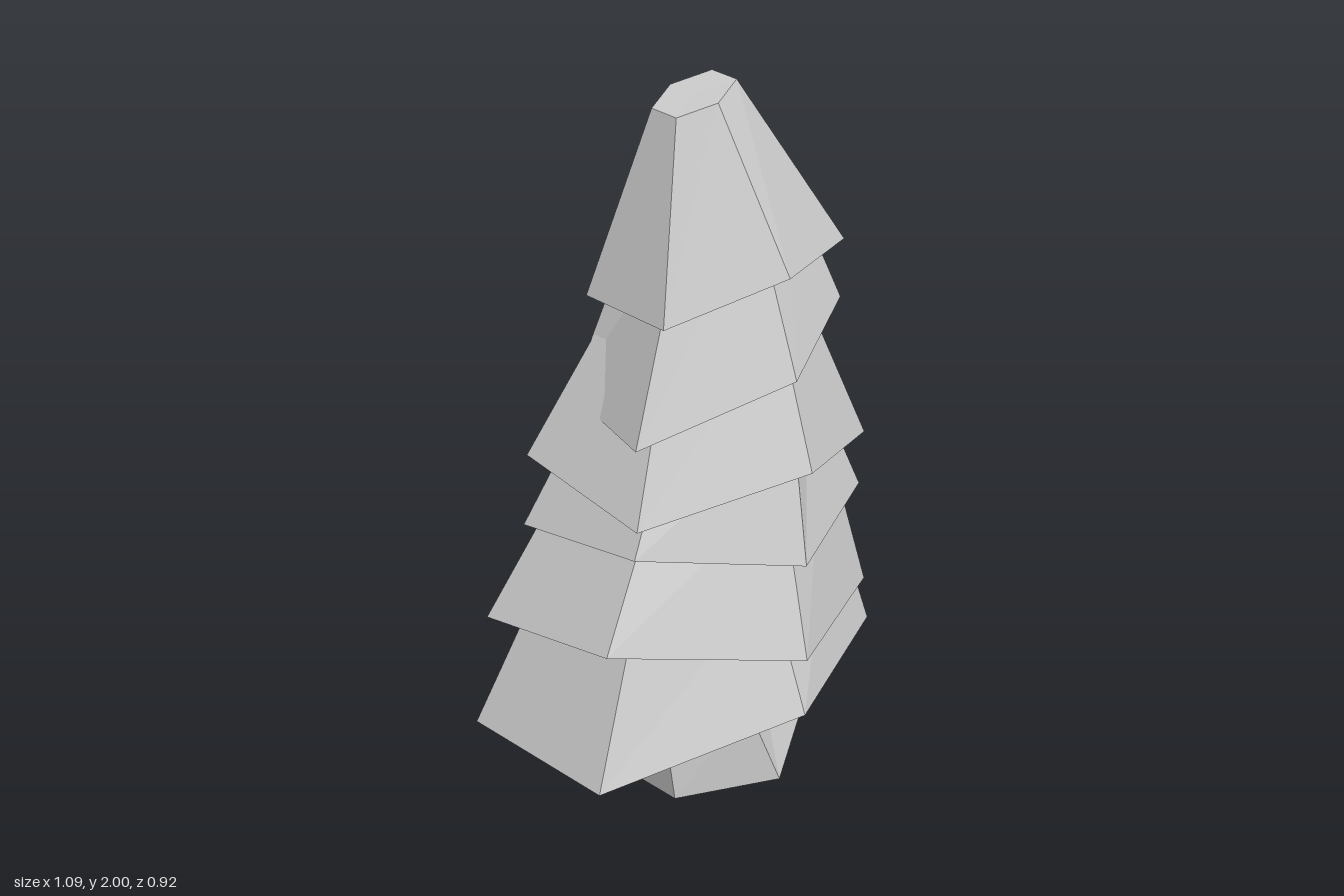
import * as THREE from 'three';

const material = new THREE.MeshStandardMaterial({ color: 0xcccccc, flatShading: true });

// Six corners: front, right front, right back, back, left back, left front.
// left/right may be [front, back] pairs; heights is one number or six.
function ring(left, mid, right, sideZ, midZ, heights) {
  const [lf, lb] = [left].flat().length > 1 ? left : [left, left];
  const [rf, rb] = [right].flat().length > 1 ? right : [right, right];
  const xs = [mid, rf, rb, mid, lb, lf];
  const zs = [midZ, sideZ, -sideZ, -midZ, -sideZ, sideZ];
  return xs.map((x, i) => new THREE.Vector3(x, Array.isArray(heights) ? heights[i] : heights, zs[i]));
}

function centre(points) {
  return points.reduce((sum, p) => sum.add(p), new THREE.Vector3()).divideScalar(points.length);
}

// Shrink a ring towards its centre, optionally lifting it
function inset(points, factor, lift = 0) {
  const c = centre(points);
  return points.map((p) => {
    const q = p.clone();
    q.x = c.x + (p.x - c.x) * factor;
    q.z = c.z + (p.z - c.z) * factor;
    q.y += lift;
    return q;
  });
}

// Faceted closed skin through a list of rings
function loft(name, rings) {
  const tris = [];
  const n = rings[0].length;
  const first = rings[0];
  const last = rings[rings.length - 1];
  for (let i = 0; i < n; i++) {
    const j = (i + 1) % n;
    for (let k = 0; k < rings.length - 1; k++) {
      const a = rings[k];
      const b = rings[k + 1];
      tris.push(a[i], a[j], b[j], a[i], b[j], b[i]);
    }
    tris.push(centre(first), first[j], first[i], centre(last), last[i], last[j]);
  }
  const geometry = new THREE.BufferGeometry().setFromPoints(tris);
  geometry.computeVertexNormals();
  const mesh = new THREE.Mesh(geometry, material);
  mesh.name = name;
  return mesh;
}

// Uneven lower edge and narrower upper end of each foliage layer, from the ground up
const tiers = [
  [ring(-0.545, 0, 0.54, 0.23, 0.46, [0.35, 0.275, 0.275, 0.275, 0.275, 0.275]),
    ring(-0.335, 0.02, 0.44, 0.16, 0.31, 0.7)],
  [ring(-0.5, 0.02, 0.53, 0.22, 0.445, [0.51, 0.41, 0.39, 0.505, 0.6, 0.685]),
    ring(-0.28, 0.09, 0.41, 0.15, 0.285, 0.95)],
  [ring(-0.375, 0.06, 0.515, 0.2, 0.4, [0.77, 0.725, 0.63, 0.825, 0.84, 0.91]),
    ring(-0.2, 0.12, 0.35, 0.14, 0.29, 1.15)],
  [ring(-0.36, 0.09, 0.535, 0.195, 0.385, [1.035, 0.88, 0.835, 0.99, 1.05, 0.985]),
    ring(-0.16, 0.13, 0.34, 0.11, 0.23, 1.4)],
  [ring([-0.315, -0.24], 0.12, 0.467, 0.15, 0.3, [1.26, 1.31, 1.245, 1.3, 1.2, 1.185]),
    ring(-0.06, 0.13, 0.33, 0.07, 0.14, 1.7)],
  [ring(-0.195, 0.12, [0.495, 0.44], 0.133, [0.27][0], [1.545, 1.465, 1.555, 1.445, 1.475, 1.475]),
    ring(-0.05, 0.058, 0.168, 0.041, 0.08, [1.985, 2, 2, 1.985, 1.97, 1.97])],
];
tiers[5][0][3].z = -0.315;

export function createModel() {
  const group = new THREE.Group();
  group.name = 'tree';

  // Bent six-sided trunk with a flared, offset foot
  group.add(loft('trunk', [
    ring(-0.175, 0.085, 0.35, 0.152, 0.305, 0),
    ring(-0.2, 0, 0.2, 0.125, 0.258, [0.27, 0.21, 0.21, 0.27, 0.32, 0.32]),
    ring(-0.2, 0, 0.2, 0.12, 0.24, 0.6),
  ]));

  // Foliage layers, each with a rim and a shallow hollow underneath
  tiers.forEach(([base, top], i) => {
    group.add(loft(`foliageTier${i + 1}`, [inset(base, 0.6, 0.13), inset(base, 0.75), base, top]));
  });
  return group;
}
